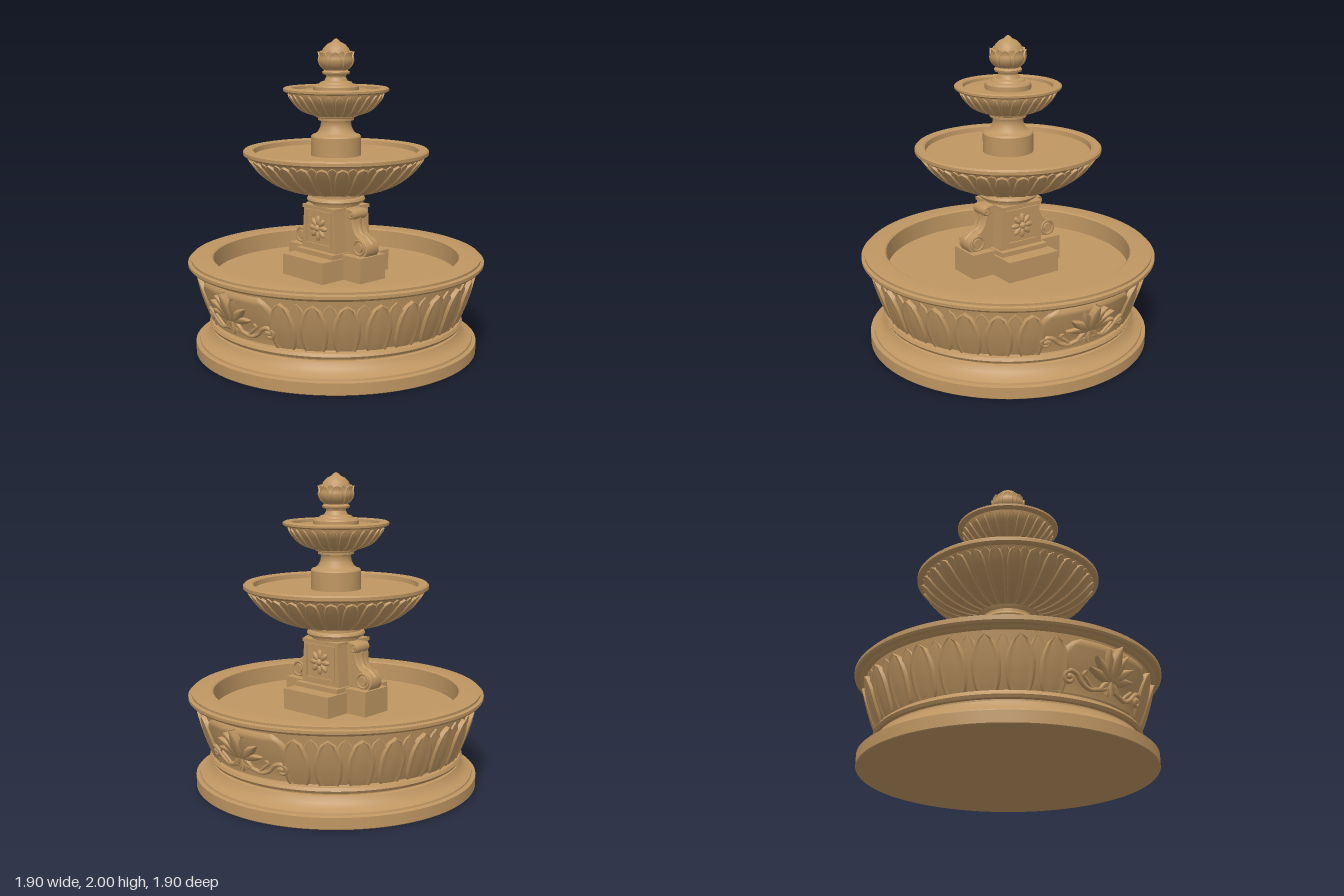
import * as THREE from 'three';
import { mergeGeometries, toCreasedNormals } from 'three/addons/utils/BufferGeometryUtils.js';

const stone = new THREE.MeshStandardMaterial({ color: 0xbf9662, side: THREE.DoubleSide });
stone.name = 'sandstone';

const vec = (pts) => pts.map(([r, y]) => new THREE.Vector2(r, y));
const spline = (pts) => new THREE.SplineCurve(vec(pts));

// Undersides that carry the carved leaves
const basinWall = spline([[0.785, 0.235], [0.805, 0.28], [0.835, 0.36], [0.86, 0.45], [0.88, 0.55]]);
const middleWall = spline([[0.2, 1.05], [0.28, 1.058], [0.39, 1.1], [0.48, 1.165], [0.53, 1.225], [0.555, 1.262]]);
const topWall = spline([[0.1, 1.52], [0.15, 1.53], [0.22, 1.557], [0.265, 1.6], [0.29, 1.635], [0.3, 1.665]]);
const budWall = spline([[0.05, 1.8], [0.09, 1.825], [0.107, 1.86], [0.1, 1.89], [0.098, 1.92]]);

function add(group, name, geometry) {
  const mesh = new THREE.Mesh(geometry, stone);
  mesh.name = name;
  group.add(mesh);
  return mesh;
}

function box(group, name, w, h, d, x, y, z) {
  return add(group, name, new THREE.BoxGeometry(w, h, d).translate(x, y, z));
}

function lathe(points, segments = 80) {
  return toCreasedNormals(new THREE.LatheGeometry(vec(points), segments), 0.6);
}

const wallPoints = (curve) => curve.getPoints(12).map((p) => [p.x, p.y]);

// Bend a flat patch by a rule: u runs -1..1 across, v runs 0..1 upward
function patch(nu, nv, rule) {
  const g = new THREE.PlaneGeometry(2, 1, nu, nv).translate(0, 0.5, 0);
  const p = g.attributes.position;
  for (let i = 0; i < p.count; i++) {
    const q = rule(p.getX(i), p.getY(i));
    p.setXYZ(i, q.x, q.y, q.z);
  }
  g.computeVertexNormals();
  return g;
}

// Leaf that hugs a revolved wall, with a raised border and a midrib
function wallLeaf(curve, { from = 0, to = 1, half, bulge, base = 0.75, point = 0.6, curl = 0 }) {
  return patch(12, 14, (u, v) => {
    const t = from + (to - from) * v;
    const c = curve.getPoint(t), tan = curve.getTangent(t);
    const grow = base + (1 - base) * Math.sin(Math.min(v / 0.5, 1) * Math.PI / 2);
    const width = half * grow * (v < 0.55 ? 1 : Math.pow(Math.max(0, 1 - ((v - 0.55) / 0.45) ** 2), point));
    const a = Math.abs(u);
    const border = Math.exp(-(((a - 0.8) / 0.13) ** 2));
    const off = a > 0.99 ? -0.006 : bulge * (0.45 + 0.35 * Math.cos(u * 1.5) + 0.5 * border) + curl * v ** 4;
    const r = c.x + tan.y * off, y = c.y - tan.x * off;
    return new THREE.Vector3(r * Math.sin(u * width), y, r * Math.cos(u * width));
  });
}

function ring(leaf, count, shift = 0, keep = () => true) {
  const all = [];
  for (let i = 0; i < count; i++) {
    const a = ((i + shift) / count) * Math.PI * 2;
    if (keep(a)) all.push(leaf.clone().rotateY(a));
  }
  return mergeGeometries(all);
}

// Place ornament coordinates on the curved basin wall
function onWall(x, y, d) {
  const c = basinWall.getPoint(THREE.MathUtils.clamp((y - 0.235) / 0.315, 0, 1));
  const r = c.x + d, a = x / 0.86;
  return new THREE.Vector3(r * Math.sin(a), y, r * Math.cos(a));
}

function lotusPetal(angle, length, half, depth) {
  const t = angle * Math.PI / 180, s = Math.sin(t), c = Math.cos(t);
  return patch(6, 8, (u, v) => {
    const w = half * u * Math.pow(Math.sin(Math.PI * Math.pow(v * 0.96 + 0.02, 0.8)), 0.8);
    const l = length * v;
    const d = u * u > 0.99 ? 0.015 : 0.022 + depth * (0.45 + 0.55 * v) * (1 - 0.45 * u * u);
    return onWall(s * l + c * w, 0.345 + c * l - s * w, d);
  });
}

// Lotus and scrolls on a smooth arched panel
function lotusOrnament() {
  const g = new THREE.Group();
  g.name = 'lotusOrnament';
  add(g, 'archedPanel', patch(24, 12, (u, v) => {
    const w = 0.4 * (v < 0.35 ? 1 : Math.sqrt(1 - 0.6 * ((v - 0.35) / 0.65) ** 2));
    return onWall(u * w, 0.237 + v * 0.305, Math.abs(u) > 0.99 || v > 0.99 ? -0.005 : 0.02);
  }));
  const petals = [];
  for (const [angle, length, half, depth] of [
    [78, 0.18, 0.028, 0.025], [55, 0.18, 0.034, 0.03], [25, 0.17, 0.036, 0.035],
    [125, 0.1, 0.025, 0.02], [160, 0.08, 0.022, 0.02]]) {
    petals.push(lotusPetal(angle, length, half, depth), lotusPetal(-angle, length, half, depth));
  }
  petals.push(lotusPetal(0, 0.185, 0.048, 0.048), lotusPetal(180, 0.085, 0.022, 0.03));
  add(g, 'lotusPetals', mergeGeometries(petals));
  for (const s of [1, -1]) {
    const path = [[0.03, 0.3], [0.09, 0.285], [0.15, 0.275], [0.21, 0.3], [0.25, 0.34], [0.29, 0.352],
      [0.322, 0.33], [0.315, 0.298], [0.285, 0.293], [0.272, 0.315], [0.29, 0.325]];
    const curve = new THREE.CatmullRomCurve3(path.map(([x, y]) => onWall(s * x, y, 0.028)));
    add(g, 'scroll', new THREE.TubeGeometry(curve, 50, 0.013, 8));
    const twig = [[0.13, 0.28], [0.17, 0.315], [0.205, 0.345], [0.19, 0.365]];
    const small = new THREE.CatmullRomCurve3(twig.map(([x, y]) => onWall(s * x, y, 0.026)));
    add(g, 'scrollTwig', new THREE.TubeGeometry(small, 16, 0.01, 8));
    const eye = add(g, 'scrollEye', new THREE.SphereGeometry(0.02, 12, 8));
    eye.position.copy(onWall(s * 0.295, 0.322, 0.025));
  }
  return g;
}

// Scrolled side bracket of the pedestal, drawn for +x
function bracket() {
  const g = new THREE.Group();
  g.name = 'scrollBracket';
  const s = new THREE.Shape();
  s.moveTo(0.1, 0.655);
  s.lineTo(0.31, 0.655);
  s.bezierCurveTo(0.35, 0.69, 0.34, 0.755, 0.28, 0.765);
  s.bezierCurveTo(0.225, 0.775, 0.205, 0.84, 0.2, 0.885);
  s.bezierCurveTo(0.235, 0.885, 0.235, 0.94, 0.195, 0.94);
  s.lineTo(0.1, 0.94);
  const body = new THREE.ExtrudeGeometry(s, { depth: 0.09, bevelEnabled: true, bevelSize: 0.006, bevelThickness: 0.01, bevelSegments: 2, curveSegments: 10 });
  add(g, 'bracketBody', toCreasedNormals(body.translate(0, 0, -0.045), 0.6));
  for (const [x, y, r] of [[0.275, 0.712, 0.038], [0.2, 0.913, 0.018]]) {
    add(g, 'volute', new THREE.CylinderGeometry(r * 0.8, r * 0.8, 0.136, 20).rotateX(Math.PI / 2).translate(x, y, 0));
    for (const z of [0.058, -0.058]) add(g, 'voluteRim', new THREE.TorusGeometry(r * 1.2, 0.008, 6, 24).translate(x, y, z));
  }
  add(g, 'bracketRib', new THREE.TubeGeometry(new THREE.CatmullRomCurve3([[0.21, 0.9], [0.21, 0.84], [0.235, 0.785], [0.285, 0.765], [0.33, 0.73]]
    .map(([x, y]) => new THREE.Vector3(x, y, 0))), 24, 0.018, 8));
  return g;
}

// Framed flower panel on a pedestal face
function flowerPanel() {
  const g = new THREE.Group();
  g.name = 'flowerPanel';
  for (const y of [0.7, 0.915]) box(g, 'frameRail', 0.25, 0.016, 0.02, 0, y, 0.152);
  for (const x of [-0.117, 0.117]) box(g, 'frameStile', 0.016, 0.215, 0.02, x, 0.808, 0.152);
  for (let i = 0; i < 8; i++) {
    const petal = new THREE.SphereGeometry(1, 12, 8).scale(0.018, 0.034, 0.016).translate(0, 0.048, 0);
    add(g, 'flowerPetal', petal.rotateZ(i * Math.PI / 4).translate(0, 0.81, 0.154));
  }
  add(g, 'flowerHeart', new THREE.SphereGeometry(0.023, 14, 10).translate(0, 0.81, 0.157));
  return g;
}

export function createModel() {
  const model = new THREE.Group();
  model.name = 'tieredFountain';

  // Lower basin with plinth, rim and floor
  add(model, 'lowerBasin', lathe([[0, 0], [0.905, 0], [0.91, 0.005], [0.91, 0.075], [0.885, 0.08], [0.882, 0.092], [0.85, 0.105],
    [0.82, 0.13], [0.805, 0.165], [0.79, 0.17], [0.79, 0.18], [0.81, 0.183], [0.82, 0.2], [0.81, 0.218], [0.79, 0.222],
    ...wallPoints(basinWall), [0.9, 0.555], [0.91, 0.566], [0.94, 0.568], [0.95, 0.58], [0.95, 0.598], [0.93, 0.604], [0.93, 0.618],
    [0.92, 0.622], [0.8, 0.622], [0.79, 0.615], [0.785, 0.5], [0, 0.5]], 96));
  const step = Math.PI / 28;
  const clear = (a) => Math.abs(Math.sin(a)) > 0.36;
  add(model, 'basinBackLeaves', ring(wallLeaf(basinWall, { to: 0.93, half: step * 0.75, bulge: 0.01 }), 28, 0.5, clear));
  add(model, 'basinLeaves', ring(wallLeaf(basinWall, { to: 0.92, half: step * 0.96, bulge: 0.022, curl: 0.006 }), 28, 0, clear));
  for (const turn of [0, Math.PI]) {
    const ornament = lotusOrnament();
    ornament.rotation.y = turn;
    model.add(ornament);
  }

  // Square pedestal with brackets on the sides and flowers front and back
  const pedestal = new THREE.Group();
  pedestal.name = 'pedestal';
  model.add(pedestal);
  box(pedestal, 'pedestalBase', 0.38, 0.145, 0.58, 0, 0.5625, 0);
  box(pedestal, 'pedestalStep', 0.35, 0.06, 0.38, 0, 0.635, 0);
  box(pedestal, 'bracketBase', 0.68, 0.165, 0.22, 0, 0.5775, 0);
  const shaft = new THREE.BoxGeometry(0.32, 0.3, 0.3).translate(0, 0.795, 0);
  const sp = shaft.attributes.position;
  for (let i = 0; i < sp.count; i++) if (sp.getY(i) > 0.8) sp.setX(i, sp.getX(i) * 0.87);
  shaft.computeVertexNormals();
  add(pedestal, 'pedestalShaft', shaft);
  box(pedestal, 'pedestalCap', 0.3, 0.022, 0.31, 0, 0.938, 0);
  for (const turn of [0, Math.PI]) {
    for (const part of [bracket(), flowerPanel()]) {
      part.rotation.y = turn;
      pedestal.add(part);
    }
  }
  add(pedestal, 'pedestalCollar', lathe([[0, 0.945], [0.15, 0.945], [0.155, 0.965], [0.18, 0.97], [0.188, 0.985], [0.18, 1],
    [0.165, 1.005], [0.165, 1.025], [0.178, 1.04], [0.185, 1.055], [0, 1.055]], 48));

  // Middle bowl with fluted leaves
  add(model, 'middleBowl', lathe([[0, 1.05], ...wallPoints(middleWall), [0.575, 1.264], [0.59, 1.275], [0.59, 1.295], [0.58, 1.305],
    [0.535, 1.305], [0.525, 1.298], [0.52, 1.268], [0, 1.265]]));
  add(model, 'middleBowlBackLeaves', ring(wallLeaf(middleWall, { to: 0.97, half: step * 0.7, bulge: 0.007, point: 0.5 }), 28, 0.5));
  add(model, 'middleBowlLeaves', ring(wallLeaf(middleWall, { to: 0.94, half: step * 0.95, bulge: 0.015, base: 0.9, point: 0.5 }), 28));

  // Drum and neck under the top bowl
  add(model, 'upperColumn', lathe([[0.16, 1.26], [0.16, 1.385], [0.152, 1.395], [0.135, 1.4], [0.115, 1.415], [0.1, 1.445], [0.095, 1.475],
    [0.1, 1.487], [0.115, 1.49], [0.115, 1.505], [0.13, 1.51], [0.135, 1.53], [0, 1.53]], 48));

  // Top bowl with narrow gadroons
  add(model, 'topBowl', lathe([[0, 1.52], ...wallPoints(topWall), [0.325, 1.667], [0.335, 1.675], [0.335, 1.688], [0.325, 1.695],
    [0.287, 1.695], [0.28, 1.688], [0.278, 1.67], [0, 1.668]], 64));
  add(model, 'topBowlGadroons', ring(wallLeaf(topWall, { to: 0.93, half: step * 0.95, bulge: 0.009, base: 0.95, point: 0.45 }), 28));

  // Finial with an opening bud
  add(model, 'finialStand', lathe([[0.145, 1.66], [0.145, 1.7], [0.135, 1.712], [0.11, 1.715], [0.1, 1.728], [0.075, 1.735], [0.062, 1.76],
    [0.065, 1.772], [0.085, 1.778], [0.088, 1.79], [0.075, 1.802], [0, 1.805]], 40));
  add(model, 'finialBud', lathe([[0.04, 1.795], [0.085, 1.825], [0.102, 1.86], [0.097, 1.9], [0.08, 1.94], [0.055, 1.965],
    [0.028, 1.978], [0.015, 1.992], [0, 2]], 32));
  add(model, 'budBackPetals', ring(wallLeaf(budWall, { half: 0.34, bulge: 0.005, curl: 0.004 }), 8, 0.5));
  add(model, 'budPetals', ring(wallLeaf(budWall, { to: 0.95, half: 0.38, bulge: 0.009, curl: 0.01 }), 8));
  return model;
}
